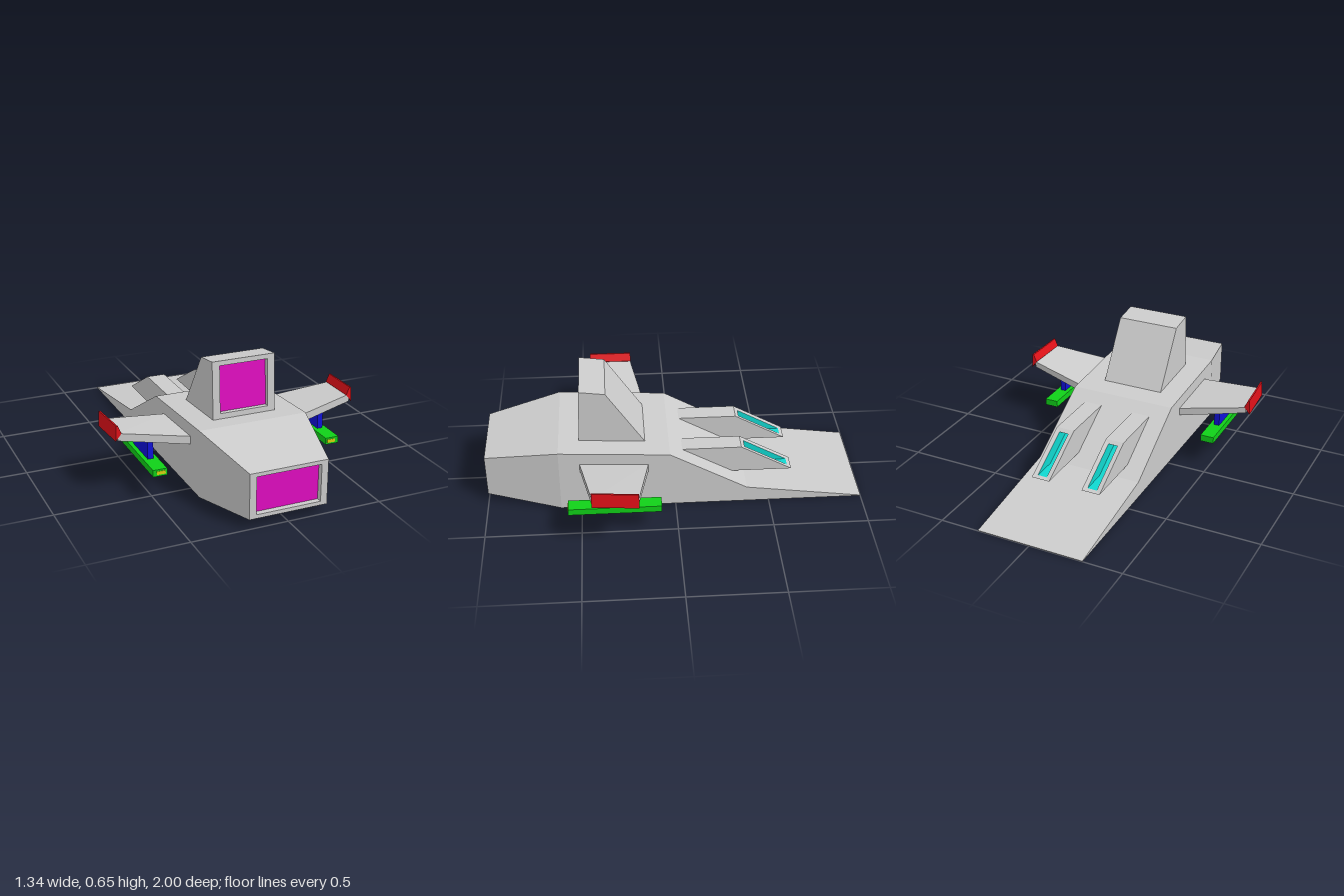
import * as THREE from 'three';

const paint = (color) => new THREE.MeshStandardMaterial({ color, flatShading: true });
const grey = paint(0xcccccc);
const magenta = paint(0xe00cc0);
const cyan = paint(0x10d8d0);
const blue = paint(0x1010d8);
const green = paint(0x10d018);
const red = paint(0xe01018);
const yellow = paint(0xd8d010);

// Four corners, counter-clockwise seen from +z: bottom edge at (yb, zb), top edge at (yt, zt)
const face = (xl, xr, yb, zb, yt, zt) => [[xl, yb, zb], [xr, yb, zb], [xr, yt, zt], [xl, yt, zt]];
const shift = (ring, dz) => ring.map(([x, y, z]) => [x, y, z + dz]);

// Flat-sided skin through a row of four-cornered rings, with optional end caps
function loft(rings, capFirst = true, capLast = true) {
  const pos = [];
  const quad = (a, b, c, d) => pos.push(...a, ...b, ...c, ...a, ...c, ...d);
  for (let r = 1; r < rings.length; r++) {
    for (let i = 0; i < 4; i++) {
      const j = (i + 1) % 4;
      quad(rings[r - 1][i], rings[r - 1][j], rings[r][j], rings[r][i]);
    }
  }
  if (capFirst) quad(...[...rings[0]].reverse());
  if (capLast) quad(...rings[rings.length - 1]);
  const g = new THREE.BufferGeometry();
  g.setAttribute('position', new THREE.Float32BufferAttribute(pos, 3));
  g.computeVertexNormals();
  return g;
}

function add(parent, name, geometry, material) {
  const mesh = new THREE.Mesh(geometry, material);
  mesh.name = name;
  parent.add(mesh);
  return mesh;
}

function box(parent, name, material, size, center) {
  const mesh = add(parent, name, new THREE.BoxGeometry(...size), material);
  mesh.position.set(...center);
  return mesh;
}

// Everything on one side of the craft, modelled for +x
function createSide(name) {
  const side = new THREE.Group();
  side.name = name;

  // Swept wing, from just inside the hull out to the tip
  const section = (x, zf, zb, bf, bb, tb, tf) => [[x, bf, zf], [x, bb, zb], [x, tb, zb], [x, tf, zf]];
  add(side, 'wing', loft([
    section(0.27, 0.505, 0.14, 0.24, 0.222, 0.265, 0.283),
    section(0.645, 0.437, 0.207, 0.297, 0.293, 0.325, 0.337),
  ]), grey);

  // Upturned winglet
  const tip = (z, dx, dy) => [[0.622, 0.335], [0.653, 0.297], [0.648, 0.377], [0.64, 0.377]]
    .map(([x, y]) => [x + dx, y + dy, z]);
  add(side, 'winglet', loft([tip(0.205, 0.015, -0.008), tip(0.44, 0.004, 0)]), red);

  // Slung pod on a pylon
  box(side, 'pylon', blue, [0.03, 0.12, 0.21], [0.477, 0.22, 0.33]);
  box(side, 'slungPod', green, [0.074, 0.036, 0.48], [0.477, 0.152, 0.325]);
  box(side, 'slungPodNozzle', yellow, [0.046, 0.018, 0.004], [0.472, 0.152, 0.565]);

  // Dorsal housing with a deep slanted opening
  const rim = face(0.168, 0.117, 0.138, -0.61, 0.271, -0.375);
  const deep = shift(rim, 0.13);
  add(side, 'dorsalHousing', loft([
    face(0.193, 0.093, 0.13, -0.25, 0.285, -0.02),
    face(0.193, 0.093, 0.13, -0.63, 0.285, -0.355),
    rim,
  ], true, false), grey);
  add(side, 'dorsalOpening', loft([rim, deep], false, true), cyan);
  return side;
}

export function createModel() {
  const model = new THREE.Group();
  model.name = 'spacecraft';

  // Wedge hull, back to front, ending in a framed recess
  const hullRim = face(-0.17, 0.17, 0.07, 1, 0.265, 1);
  const hullDeep = shift(hullRim, -0.03);
  add(model, 'hull', loft([
    face(-0.29, 0.29, 0, -1, 0.003, -1),
    face(-0.29, 0.29, 0, -0.38, 0.09, -0.38),
    face(-0.29, 0.29, 0, 0.03, 0.325, 0.03),
    face(-0.29, 0.29, 0, 0.61, 0.358, 0.61),
    face(-0.205, 0.205, 0.05, 1, 0.285, 1),
    hullRim,
    hullDeep,
  ], true, false), grey);
  add(model, 'hullPanel', loft([hullDeep], false, true), magenta);

  // Tower with a slanted back and its own framed recess
  const towerRim = face(-0.13, 0.13, 0.38, 0.503, 0.628, 0.491);
  const towerDeep = shift(towerRim, -0.025);
  add(model, 'tower', loft([
    face(-0.17, 0.17, 0.32, 0.148, 0.635, 0.355),
    face(-0.17, 0.17, 0.32, 0.506, 0.653, 0.49),
    towerRim,
    towerDeep,
  ], true, false), grey);
  add(model, 'towerPanel', loft([towerDeep], false, true), magenta);

  const left = createSide('leftSide');
  const right = createSide('rightSide');
  right.scale.x = -1;
  model.add(left, right);
  return model;
}
